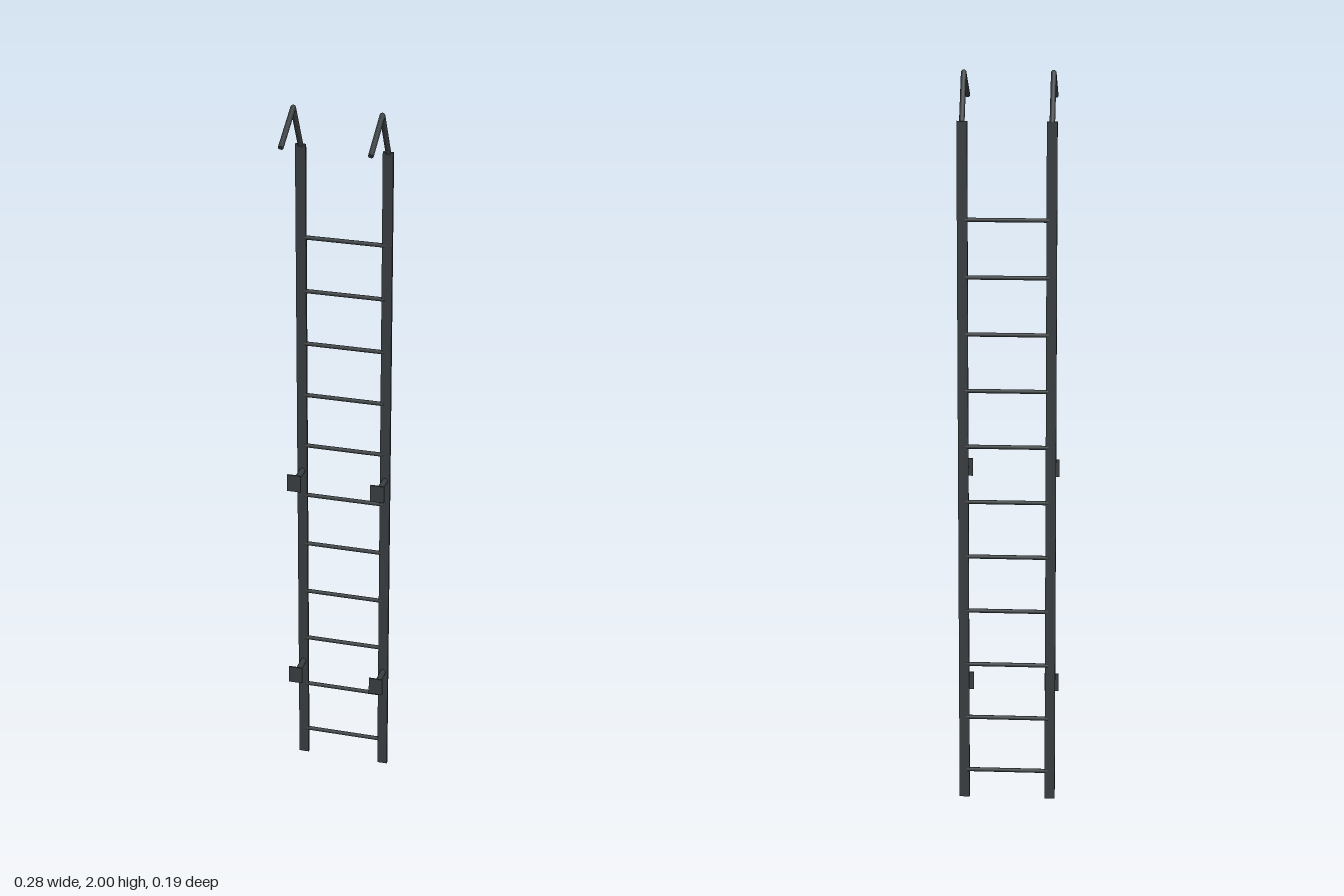
import * as THREE from 'three';

export function createModel() {
  const group = new THREE.Group();
  const mat = new THREE.MeshStandardMaterial({ color: 0x383d3f });
  const railX = 0.118, railZ = -0.09, railTop = 1.872;

  const add = (name, geo, x, y, z) => {
    const mesh = new THREE.Mesh(geo, mat);
    mesh.name = name;
    mesh.position.set(x, y, z);
    group.add(mesh);
    return mesh;
  };

  // Round bar between two points
  const bar = (name, a, b, radius) => {
    const dir = b.clone().sub(a);
    const mid = a.clone().add(b).multiplyScalar(0.5);
    const mesh = add(name, new THREE.CylinderGeometry(radius, radius, dir.length(), 16), mid.x, mid.y, mid.z);
    mesh.quaternion.setFromUnitVectors(new THREE.Vector3(0, 1, 0), dir.normalize());
  };
  const v = (x, y, z) => new THREE.Vector3(x, y, z);

  for (const [side, s] of [['left', 1], ['right', -1]]) {
    const x = s * railX;
    // Flat side rail
    add(side + 'Rail', new THREE.BoxGeometry(0.028, railTop, 0.009), x, railTop / 2, railZ);

    // Bent hook at the top
    const apex = v(x, 1.992, -0.025);
    bar(side + 'HookRiser', v(x, railTop - 0.003, railZ), apex, 0.0073);
    bar(side + 'HookTip', apex, v(x, 1.922, 0.089), 0.0073);
    add(side + 'HookElbow', new THREE.SphereGeometry(0.0073, 16, 10), apex.x, apex.y, apex.z);

    // Wall stand-offs: arm and mounting plate
    for (const y of [0.309, 0.922]) {
      bar(side + 'BracketArm', v(x, y, railZ), v(x, y, -0.005), 0.008);
      add(side + 'BracketPlate', new THREE.BoxGeometry(0.039, 0.049, 0.005), x, y, -0.005);
    }
  }

  // Rungs
  for (let i = 0; i < 11; i++) {
    const y = 0.079 + i * 0.1534;
    bar('rung', v(-railX + 0.006, y, railZ), v(railX - 0.006, y, railZ), 0.0057);
  }
  return group;
}
